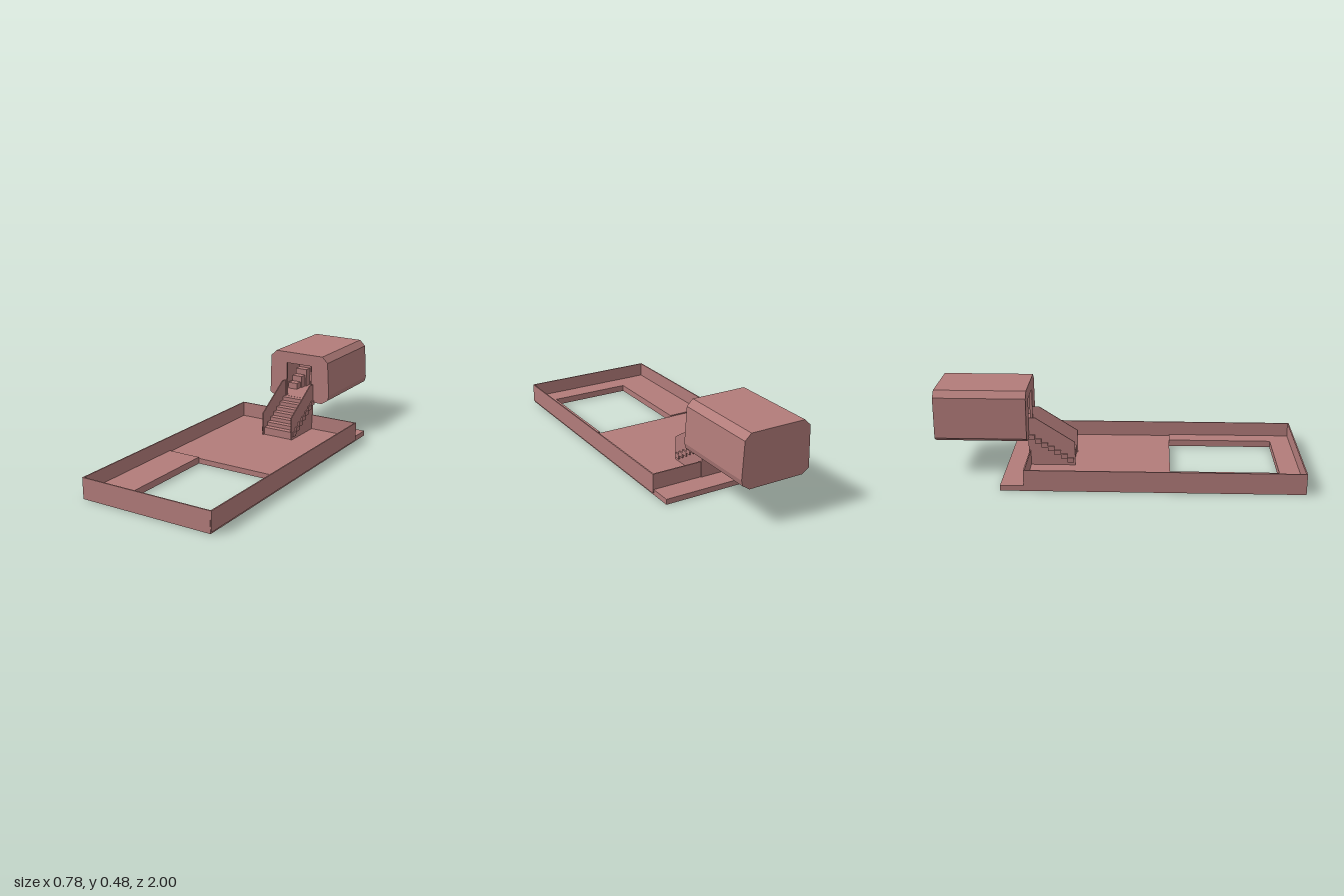
import * as THREE from 'three';

const material = new THREE.MeshStandardMaterial({ color: 0xb27c7a, flatShading: true });

export function createModel() {
  const model = new THREE.Group();

  const add = (name, geometry, parent = model) => {
    const mesh = new THREE.Mesh(geometry, material);
    mesh.name = name;
    parent.add(mesh);
    return mesh;
  };
  // Box given by its limits on each axis
  const box = (name, x0, x1, y0, y1, z0, z1, parent) => {
    const g = new THREE.BoxGeometry(x1 - x0, y1 - y0, z1 - z0);
    g.translate((x0 + x1) / 2, (y0 + y1) / 2, (z0 + z1) / 2);
    return add(name, g, parent);
  };
  const group = (name) => {
    const g = new THREE.Group();
    g.name = name;
    model.add(g);
    return g;
  };
  const toVectors = (points) => points.map(([x, y]) => new THREE.Vector2(x, y));
  // Outline extruded along z from z0 to z1
  const prism = (name, outline, hole, z0, z1, parent) => {
    const shape = new THREE.Shape(toVectors(outline));
    if (hole) shape.holes.push(new THREE.Path(toVectors(hole)));
    const g = new THREE.ExtrudeGeometry(shape, { depth: z1 - z0, bevelEnabled: false });
    g.translate(0, 0, z0);
    return add(name, g, parent);
  };

  // Floor: rear slab, and a slightly raised frame around the opening
  const floor = group('floor');
  box('rearFloor', -0.39, 0.385, 0, 0.03, -0.62, 0.285, floor);
  box('openingRightStrip', -0.39, -0.185, 0, 0.037, 0.285, 1, floor);
  box('openingLeftStrip', 0.29, 0.385, 0, 0.037, 0.285, 1, floor);
  box('openingFrontStrip', -0.185, 0.29, 0, 0.037, 0.88, 1, floor);

  // Thin walls around the yard
  const walls = group('yardWalls');
  box('leftWall', 0.383, 0.39, 0.01, 0.117, -0.495, 0.998, walls);
  box('rightWall', -0.39, -0.383, 0.03, 0.117, -0.495, 1, walls);
  box('frontWall', -0.383, 0.383, 0.037, 0.117, 0.993, 1, walls);
  box('backWall', -0.383, 0.383, 0.03, 0.117, -0.495, -0.488, walls);

  // Solid stairs, their ends showing just outside the side panels
  const stairs = group('stairs');
  const stepCount = 7, depth = 0.25 / stepCount, rise = (0.207 - 0.03) / (stepCount + 1);
  for (let i = 0; i < stepCount; i++) {
    const front = -0.25 - i * depth;
    const top = 0.03 + (i + 2) * rise;
    box('step', -0.104, 0.108, top - rise * 1.2, top, front - depth, front, stairs);
    box('stepCore', -0.094, 0.098, 0.03, top - rise, front - depth, front, stairs);
  }
  const panelOutline = [[0.242, 0.03], [0.5, 0.03], [0.5, 0.305], [0.46, 0.305], [0.242, 0.165]];
  for (const x of [-0.092, 0.097]) {
    const g = new THREE.ExtrudeGeometry(new THREE.Shape(toVectors(panelOutline)),
      { depth: 0.006, bevelEnabled: false });
    g.translate(0, 0, -0.003);
    g.rotateY(Math.PI / 2);
    g.translate(x, 0, 0);
    add('sidePanel', g, stairs);
  }

  // Hollow cabin with chamfered corners
  const cabin = group('cabin');
  const outline = [
    [-0.155, 0.192], [0.158, 0.192], [0.197, 0.218], [0.205, 0.248], [0.192, 0.446],
    [0.157, 0.48], [-0.155, 0.48], [-0.19, 0.446], [-0.195, 0.218],
  ];
  const inner = outline.map(([x, y]) => [x * 0.92, 0.336 + (y - 0.336) * 0.89]);
  const door = [[-0.082, 0.208], [0.085, 0.208], [0.085, 0.413], [-0.082, 0.413]];
  prism('cabinShell', outline, inner, -0.985, -0.512, cabin);
  prism('cabinFront', outline, door, -0.512, -0.497, cabin);
  prism('cabinBack', outline, null, -1, -0.985, cabin);

  // Stepped blocks along the inside right wall
  const blocks = group('insideBlocks');
  for (let i = 0; i < 4; i++) {
    const z = -0.64 - i * 0.045;
    box('block', -0.15, -0.068 - (3 - i) * 0.008, 0.208, 0.245 + i * 0.035, z - 0.045, z, blocks);
  }

  return model;
}
